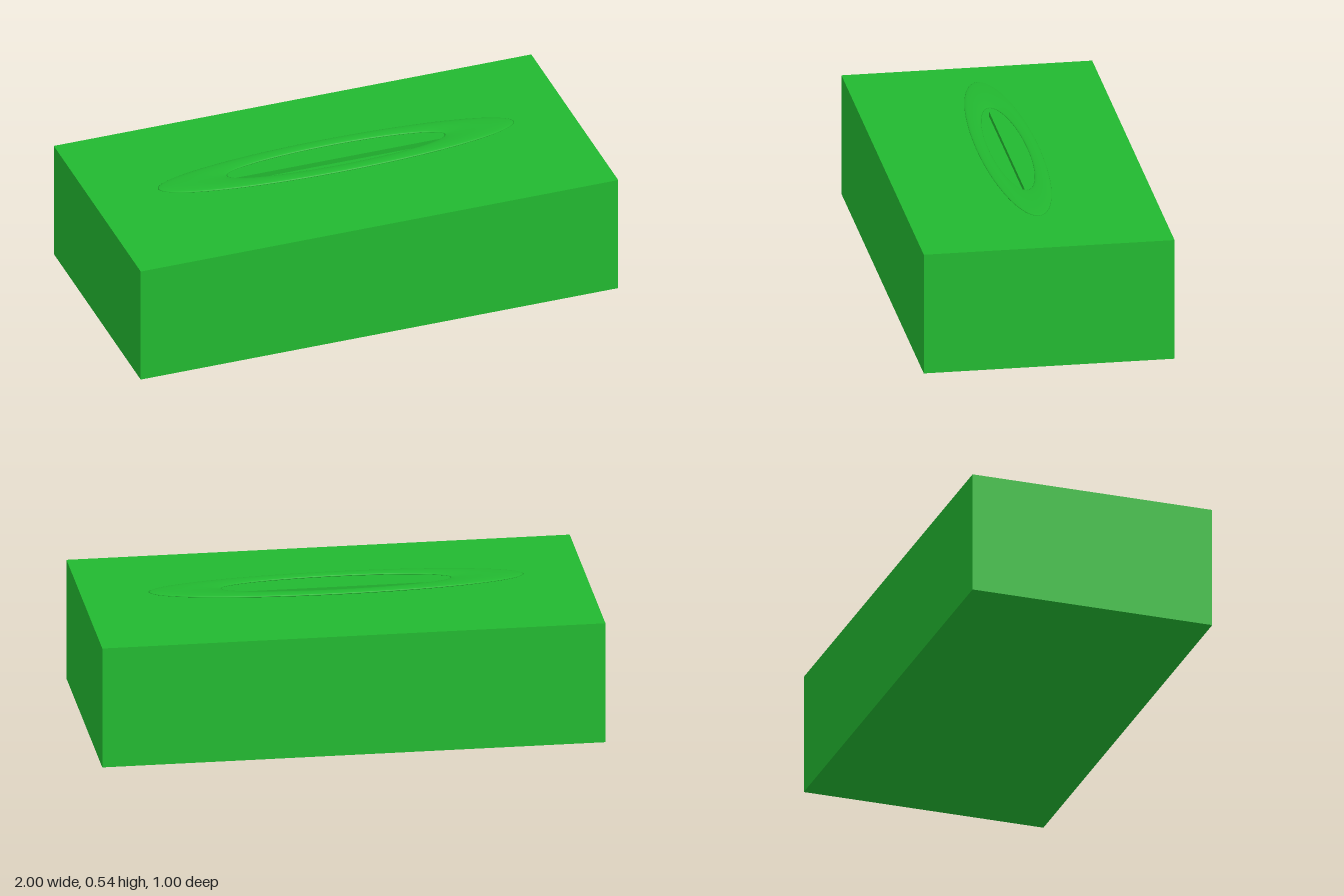
import * as THREE from 'three';

export function createModel() {
  const group = new THREE.Group();
  const green = new THREE.MeshStandardMaterial({ color: 0x22b830 });
  const sheetGreen = new THREE.MeshStandardMaterial({ color: 0x22b830, side: THREE.DoubleSide });

  function add(name, geometry, material, x, y, z) {
    const mesh = new THREE.Mesh(geometry, material);
    mesh.name = name;
    mesh.position.set(x, y, z);
    group.add(mesh);
    return mesh;
  }

  // Carton
  add('box', new THREE.BoxGeometry(2, 0.5, 1), green, 0, 0.25, 0);

  // Flattened oval rim floating just above the lid
  const rim = new THREE.TorusGeometry(0.1, 0.0242, 24, 96);
  rim.rotateX(-Math.PI / 2);
  rim.scale(6, 0.26, 1); // normals are rescaled along with the shape
  add('openingRim', rim, green, 0, 0.5365, 0);

  // Thin upright sheet peeking out of the lid
  add('tissue', new THREE.PlaneGeometry(0.912, 0.04), sheetGreen, -0.01, 0.5, 0);

  return group;
}
